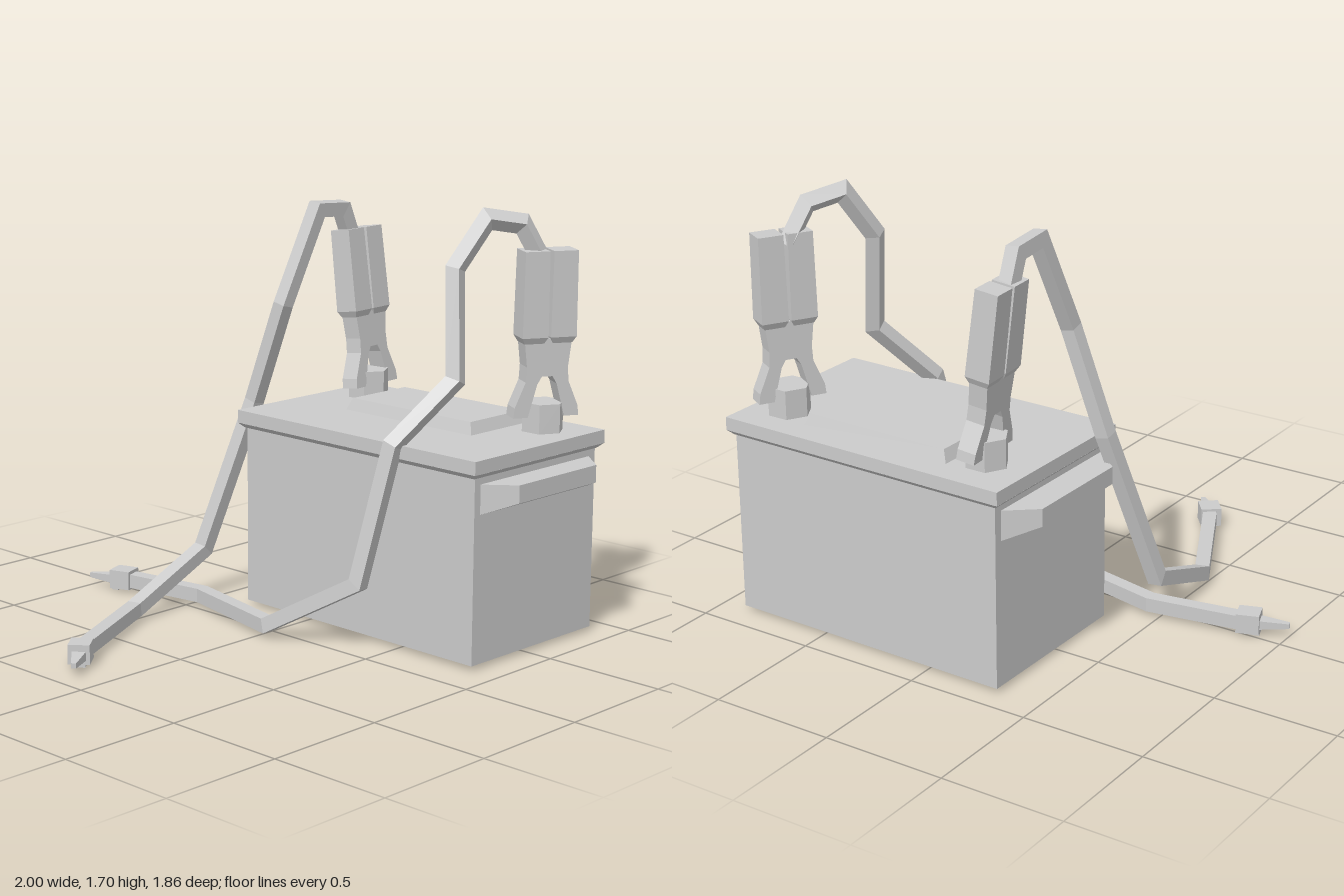
import * as THREE from 'three';

const grey = new THREE.MeshStandardMaterial({ color: 0xcccccc, flatShading: true });

function add(parent, name, geometry, x = 0, y = 0, z = 0) {
  const mesh = new THREE.Mesh(geometry, grey);
  mesh.name = name;
  mesh.position.set(x, y, z);
  parent.add(mesh);
  return mesh;
}

// Box standing on y = 0 whose top is scaled and shifted sideways
function taper(w, h, d, sx, sz, shiftX = 0) {
  const g = new THREE.BoxGeometry(w, h, d).translate(0, h / 2, 0);
  const p = g.attributes.position;
  for (let i = 0; i < p.count; i++) {
    if (p.getY(i) > h / 2) {
      p.setX(i, p.getX(i) * sx + shiftX);
      p.setZ(i, p.getZ(i) * sz);
    }
  }
  g.computeVertexNormals();
  return g;
}

// Square cable with mitred corners, swept from its lying end
function cableGeometry(points, size) {
  const pts = points.map((p) => new THREE.Vector3(...p));
  const last = pts.length - 1;
  const dirs = pts.slice(1).map((p, i) => p.clone().sub(pts[i]).normalize());
  const side = new THREE.Vector3(0, 1, 0).cross(dirs[0]).normalize();
  const up = dirs[0].clone().cross(side);
  const h = size / 2;
  let ring = [[-1, -1], [1, -1], [1, 1], [-1, 1]].map(([a, b]) =>
    pts[0].clone().addScaledVector(side, a * h).addScaledVector(up, b * h));
  const verts = [];
  const quad = (a, b, c, d) => [a, b, c, a, c, d].forEach((v) => verts.push(v.x, v.y, v.z));
  quad(ring[0], ring[3], ring[2], ring[1]);
  for (let i = 1; i <= last; i++) {
    const d = dirs[i - 1];
    const n = d.clone().add(dirs[Math.min(i, last - 1)]);
    const next = ring.map((c) =>
      c.clone().addScaledVector(d, pts[i].clone().sub(c).dot(n) / d.dot(n)));
    for (let k = 0; k < 4; k++) {
      const m = (k + 1) % 4;
      quad(ring[k], ring[m], next[m], next[k]);
    }
    ring = next;
  }
  quad(ring[0], ring[1], ring[2], ring[3]);
  const g = new THREE.BufferGeometry();
  g.setAttribute('position', new THREE.Float32BufferAttribute(verts, 3));
  g.computeVertexNormals();
  return g;
}

// Two grips over a pair of arched jaws
function clamp(name, x, y, z, turn, lean) {
  const group = new THREE.Group();
  group.name = name;
  group.position.set(x, y, z);
  group.rotation.set(lean, turn, 0, 'YXZ');
  const half = [[0.135, 0], [0.13, 0.04], [0.088, 0.14], [0.085, 0.2], [0.098, 0.31]];
  const arch = [[0.022, 0.16], [0.04, 0.13], [0.075, 0]];
  const mirror = (list) => list.map(([a, b]) => [-a, b]).reverse();
  const outline = [...half, ...mirror(half), ...mirror(arch), ...arch];
  const shape = new THREE.Shape(outline.map(([a, b]) => new THREE.Vector2(a, b)));
  const depth = 0.075;
  add(group, 'jaws', new THREE.ExtrudeGeometry(shape, { depth, bevelEnabled: false })
    .translate(0, 0, -depth / 2));
  for (const s of [-1, 1]) {
    add(group, 'grip', taper(0.106, 0.335, 0.1, 0.94, 0.94), s * 0.058, 0.315, 0);
    add(group, 'gripCollar', taper(0.08, 0.025, 0.075, 1.32, 1.33), s * 0.058, 0.29, 0);
  }
  return group;
}

// Collar and pointed tip at the free end of a cable
function plug(name, x, z, dx, dz) {
  const group = new THREE.Group();
  group.name = name;
  group.position.set(x, 0.05, z);
  group.rotation.y = Math.atan2(dx, dz);
  add(group, 'collar', new THREE.BoxGeometry(0.085, 0.078, 0.09));
  add(group, 'tip', taper(0.055, 0.115, 0.036, 0.35, 0.55).rotateX(Math.PI / 2), 0, -0.005, 0.043);
  add(group, 'lowerLip', new THREE.BoxGeometry(0.05, 0.03, 0.03), 0, -0.035, 0.03);
  return group;
}

export function createModel() {
  const model = new THREE.Group();
  model.name = 'batteryWithCables';

  // Battery case, lid and side handles
  const battery = new THREE.Group();
  battery.name = 'battery';
  battery.position.set(0.278, 0, -0.54);
  battery.rotation.y = -0.014;
  model.add(battery);
  add(battery, 'case', new THREE.BoxGeometry(1.21, 0.74, 0.715), 0.002, 0.388, 0);
  add(battery, 'lidUnderside', taper(1.22, 0.02, 0.73, 1.035, 1.055), 0, 0.745, 0);
  add(battery, 'lid', new THREE.BoxGeometry(1.262, 0.053, 0.77), 0, 0.791, 0);
  add(battery, 'topPanel', taper(0.665, 0.048, 0.345, 0.94, 0.9), 0.003, 0.817, -0.107);
  for (const s of [-1, 1]) {
    const handle = add(battery, 'sideHandle',
      taper(0.12, 0.117, 0.655, 0.58, 0.7, -0.025).rotateZ(-Math.PI / 2), s * 0.6, 0.658, 0.003);
    if (s < 0) handle.rotation.y = Math.PI;
  }

  // Terminals
  for (const x of [-0.17, 0.745]) {
    add(model, 'terminal', new THREE.CylinderGeometry(0.085, 0.085, 0.12, 6).rotateY(Math.PI / 6),
      x, 0.873, -0.74);
  }

  // Clamps
  model.add(clamp('rightClamp', -0.16, 0.87, -0.74, 1.64, -0.125));
  model.add(clamp('leftClamp', 0.747, 0.88, -0.735, 1.05, 0.025));

  // Cables, listed from the free end up to the clamp
  add(model, 'rightCable', cableGeometry([
    [-0.25, 0.05, 0.77], [-0.49, 0.05, 0.29], [-0.53, 0.21, -0.13], [-0.4, 0.83, -0.3],
    [-0.265, 1.24, -0.33], [-0.23, 1.615, -0.49], [-0.235, 1.605, -0.64], [-0.242, 1.46, -0.71],
  ], 0.057));
  add(model, 'leftCable', cableGeometry([
    [-0.82, 0.047, 0.015], [-0.45, 0.047, -0.045], [0.03, 0.047, 0.06], [0.425, 0.275, -0.035],
    [0.51, 0.82, -0.13], [0.645, 1.06, -0.33], [0.572, 1.47, -0.405], [0.635, 1.655, -0.515],
    [0.7, 1.63, -0.645], [0.745, 1.48, -0.715],
  ], 0.057));
  model.add(plug('rightPlug', -0.23, 0.802, 0.64, 0.77));
  model.add(plug('leftPlug', -0.85, 0.027, -0.94, 0.33));
  return model;
}
